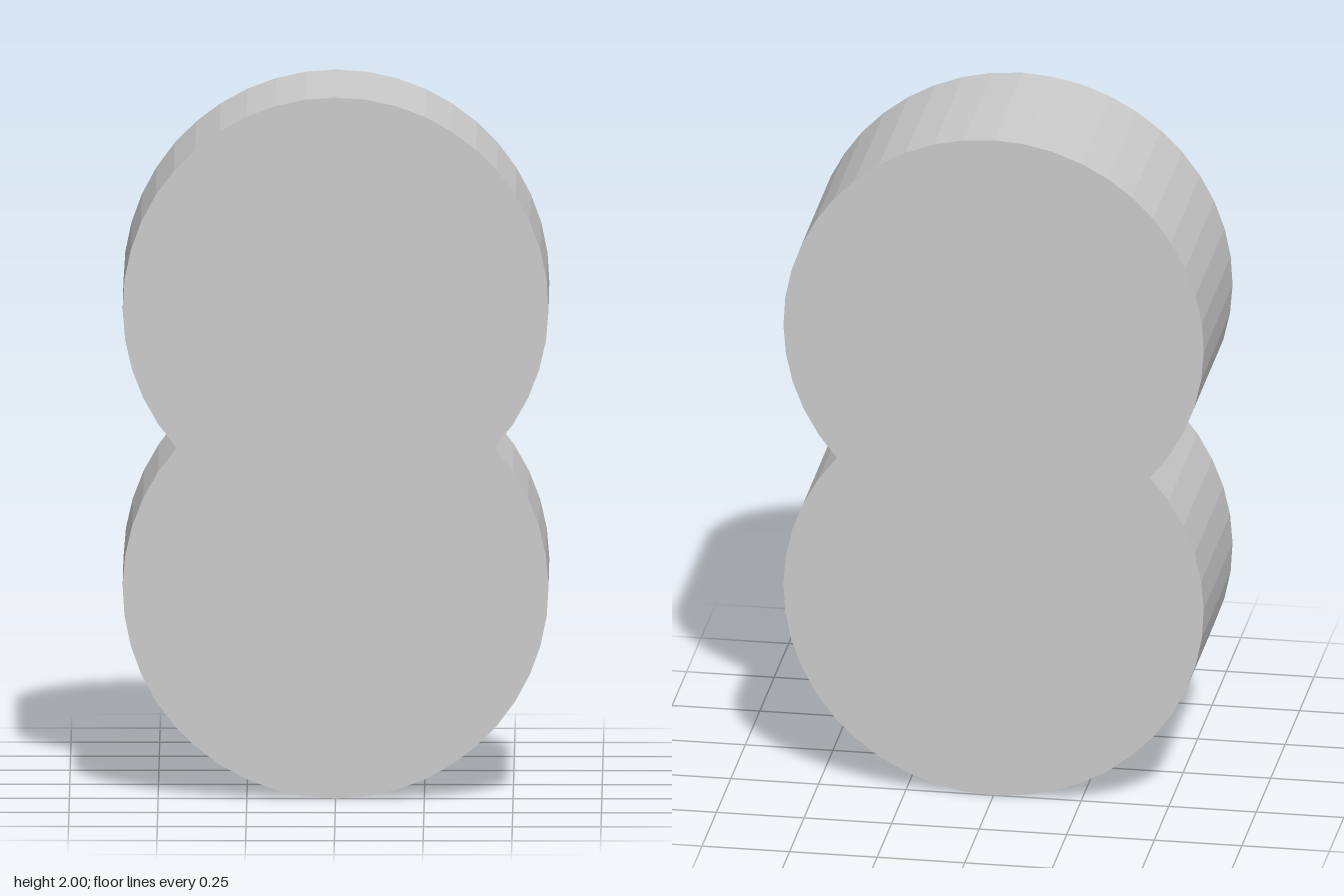
import * as THREE from 'three';

const RADIUS = 0.6, OFFSET = 0.4, DEPTH = 0.5, SEGMENTS = 32;

export function createModel() {
  const group = new THREE.Group();
  group.name = 'figureEightBlock';

  // Outline: two overlapping circles joined at the waist notches
  const notch = Math.asin(OFFSET / RADIUS);
  const sweep = Math.PI + 2 * notch;
  const points = [];
  for (const [centreY, start] of [[1 + OFFSET, -notch], [1 - OFFSET, Math.PI - notch]]) {
    // The last point of each arc is the first of the next
    for (let i = 0; i < SEGMENTS; i++) {
      const a = start + (sweep * i) / SEGMENTS;
      points.push(new THREE.Vector2(RADIUS * Math.cos(a), centreY + RADIUS * Math.sin(a)));
    }
  }

  // Solid block with faceted sides
  const geometry = new THREE.ExtrudeGeometry(new THREE.Shape(points), {
    depth: DEPTH, steps: 1, bevelEnabled: false,
  });
  geometry.translate(0, 0, -DEPTH / 2);
  const body = new THREE.Mesh(
    geometry,
    new THREE.MeshStandardMaterial({ color: 0xcccccc, flatShading: true })
  );
  body.name = 'doubleDiscBody';
  group.add(body);
  return group;
}
